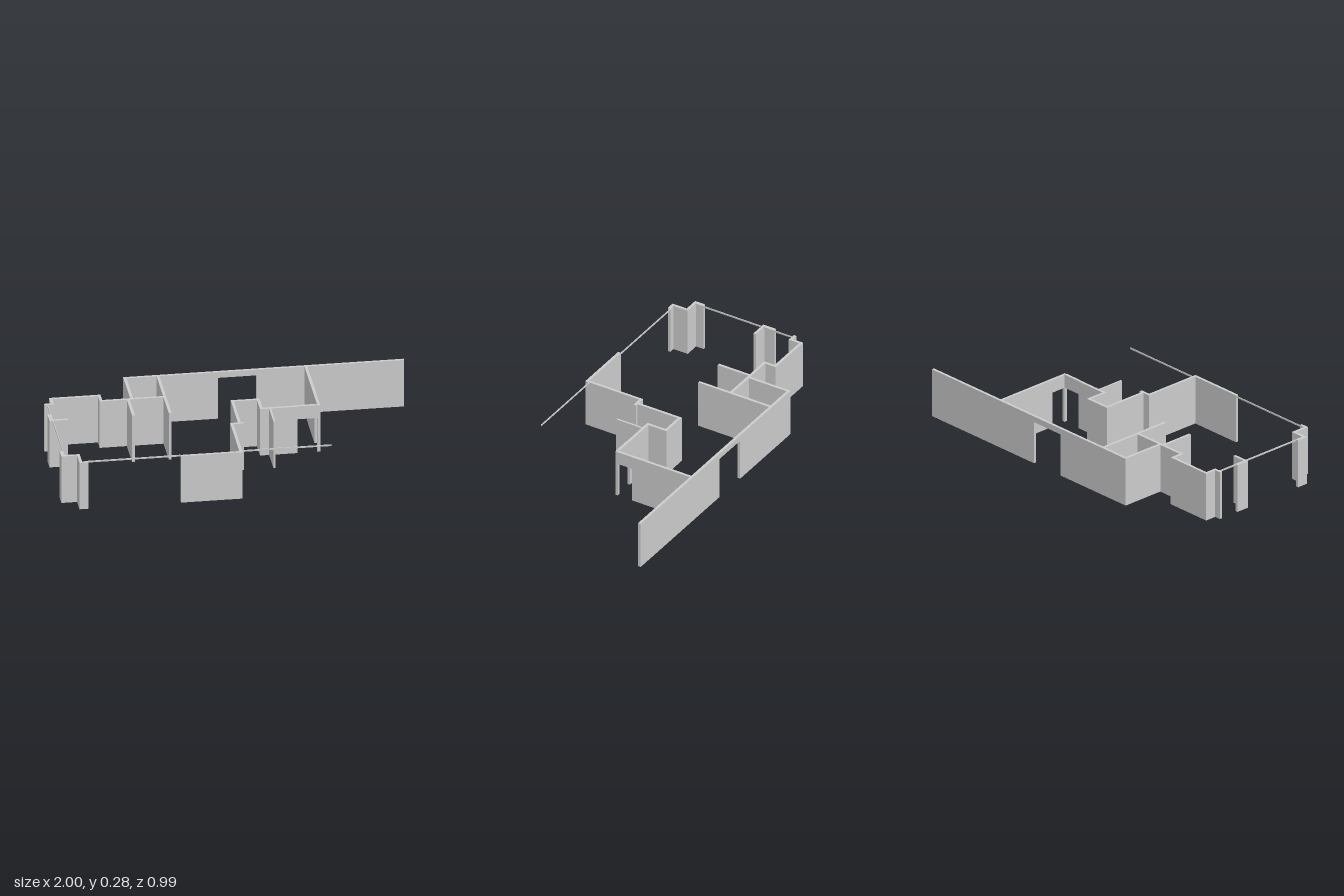
import * as THREE from 'three';

const H = 0.28;   // wall height
const T = 0.016;  // wall thickness

export function createModel() {
  const model = new THREE.Group();
  const material = new THREE.MeshStandardMaterial({ color: 0xcccccc, flatShading: true });

  // Box given by its plan rectangle and height range
  function block(parent, name, x0, x1, z0, z1, y0 = 0, y1 = H) {
    const mesh = new THREE.Mesh(new THREE.BoxGeometry(x1 - x0, y1 - y0, z1 - z0), material);
    mesh.position.set((x0 + x1) / 2, (y0 + y1) / 2, (z0 + z1) / 2);
    mesh.name = name;
    parent.add(mesh);
  }

  function section(name) {
    const group = new THREE.Group();
    group.name = name;
    model.add(group);
    return group;
  }

  // Wall running along x, with its back face at z
  const alongX = (g, name, x0, x1, z, y0, y1) => block(g, name, x0, x1, z, z + T, y0, y1);
  // Wall running along z, with its right face at x
  const alongZ = (g, name, x, z0, z1, y0, y1) => block(g, name, x, x + T, z0, z1, y0, y1);

  // Long back wall with a tall opening
  const back = section('backWall');
  alongX(back, 'backWallRight', -0.53, -0.015, -0.496);
  alongX(back, 'backWallLeft', 0.195, 1, -0.496);
  alongX(back, 'backWallLintel', -0.015, 0.195, -0.496, 0.246, H);

  // Small back room and its partitions
  const room = section('backRoom');
  alongZ(room, 'roomSideWall', -0.53, -0.48, -0.24);
  alongZ(room, 'longPartition', -0.35, -0.48, -0.03);
  alongX(room, 'roomFrontWall', -0.698, -0.35, -0.24);
  alongZ(room, 'shortPartition', -0.55, -0.224, -0.03);

  // Stepped bay on the right side
  const bay = section('bayWalls');
  alongZ(bay, 'bayInnerReturn', -0.698, -0.29, -0.24);
  alongX(bay, 'bayBackWall', -0.963, -0.682, -0.306);
  alongZ(bay, 'bayOuterReturn', -0.963, -0.29, -0.224);
  alongX(bay, 'bayEndStub', -1, -0.963, -0.24);

  // Angled piers on the right side
  const piers = section('sidePiers');
  alongZ(piers, 'middlePierSide', -1, -0.11, -0.046);
  alongX(piers, 'middlePierReturn', -1, -0.9, -0.046);
  alongZ(piers, 'cornerPierSide', -1, 0.34, 0.388);
  alongX(piers, 'cornerPierReturn', -1, -0.898, 0.388);
  alongZ(piers, 'cornerPierInner', -0.914, 0.404, 0.478);
  alongX(piers, 'cornerPierFront', -0.914, -0.865, 0.478);

  // Front wall and the stepped wall leading inwards
  const front = section('frontWalls');
  alongX(front, 'frontWall', -0.36, -0.024, 0.478);
  alongZ(front, 'frontReturn', -0.04, 0.152, 0.478);
  alongX(front, 'stepWall', -0.04, 0.034, 0.136);
  alongZ(front, 'nicheSideWall', 0.003, -0.12, 0.136);
  alongX(front, 'nicheBackWall', 0.003, 0.16, -0.136);
  alongZ(front, 'nicheOuterWall', 0.144, -0.12, -0.022);
  block(front, 'finWall', 0.194, 0.205, -0.006, 0.155);

  // Left corner with two doorways meeting at a post
  const corner = section('doorwayCorner');
  alongX(corner, 'doorwayFrontWall', 0.144, 0.35, -0.022);
  alongX(corner, 'frontDoorLintel', 0.35, 0.457, -0.022, 0.204, 0.282);
  alongZ(corner, 'cornerPost', 0.457, -0.022, -0.006);
  alongZ(corner, 'sideDoorLintel', 0.457, -0.112, -0.022, 0.204, H);
  alongZ(corner, 'doorwaySideWall', 0.457, -0.48, -0.112);

  // Thin beams spanning the open sides
  const beams = section('beams');
  block(beams, 'sideBeam', -0.984, -0.98, -0.224, 0.388, 0.271, H);
  block(beams, 'frontBeamRight', -0.866, -0.36, 0.475, 0.479, 0.271, H);
  block(beams, 'frontBeamLeft', -0.024, 0.464, 0.469, 0.473, 0.271, H);

  return model;
}
